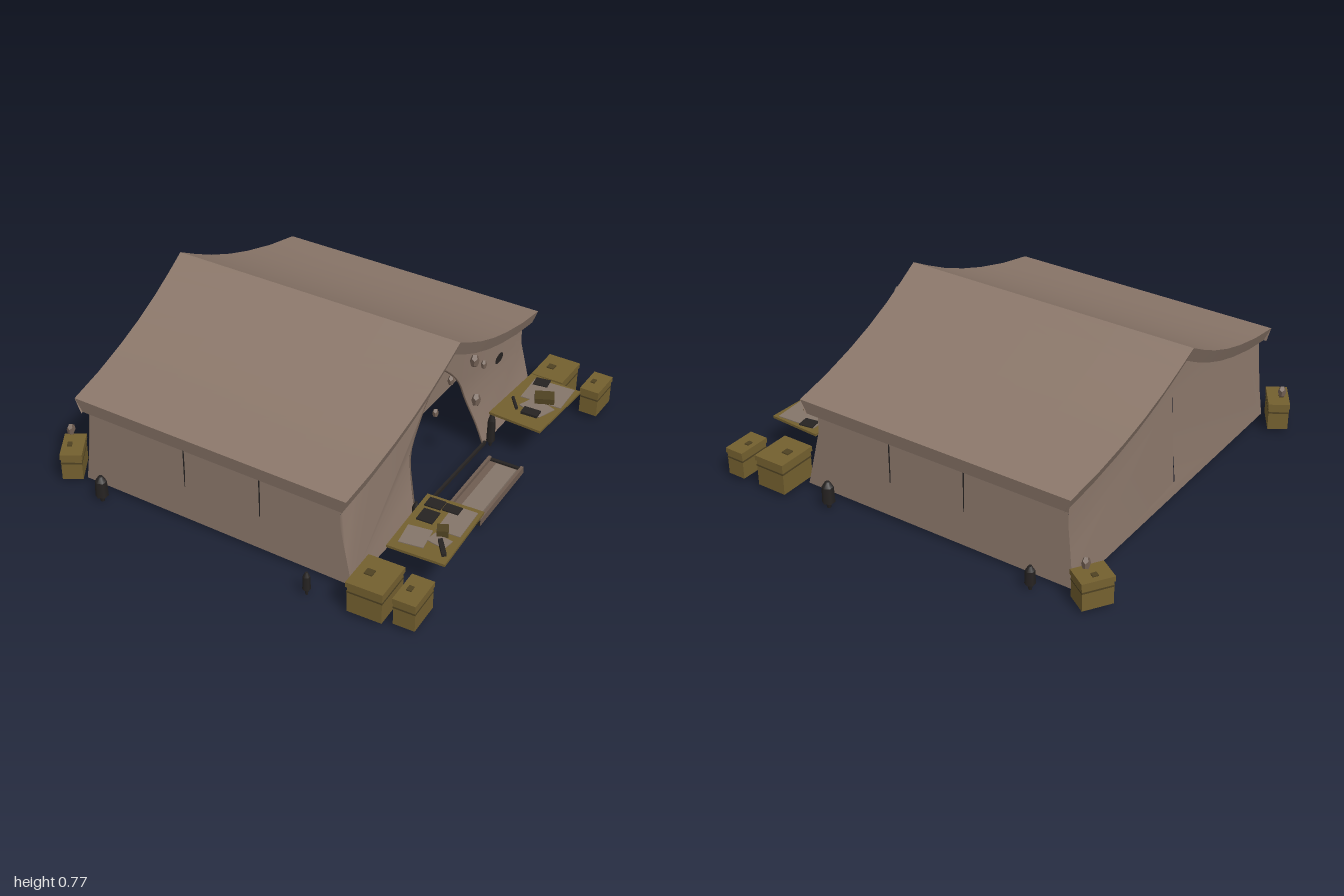
import * as THREE from 'three';

const mat = (name, color, double = false) => {
  const m = new THREE.MeshStandardMaterial({ color, side: double ? THREE.DoubleSide : THREE.FrontSide });
  m.name = name;
  return m;
};

export function createModel() {
  const canvas = mat('canvas', 0x8b776a, true);
  const olive = mat('olive wood', 0x74602f);
  const oliveDark = mat('dark olive trim', 0x4f4222);
  const dark = mat('dark iron', 0x262322);
  const cloth = mat('brown cloth', 0x6f5d51);
  const paper = mat('worn paper', 0x85766a);
  const root = new THREE.Group();
  root.name = 'fieldTent';

  const add = (name, geo, material, pos = [0, 0, 0], parent = root, rotY = 0) => {
    const m = new THREE.Mesh(geo, material);
    m.name = name;
    m.position.set(...pos);
    m.rotation.y = rotY;
    parent.add(m);
    return m;
  };
  const box = (name, w, h, d, material, pos, parent, rotY) =>
    add(name, new THREE.BoxGeometry(w, h, d), material, pos, parent, rotY);
  const group = (name, x, y, z, rotY = 0) => {
    const g = new THREE.Group();
    g.name = name;
    g.position.set(x, y, z);
    g.rotation.y = rotY;
    root.add(g);
    return g;
  };
  // Cloth sheet lofted through rows of points
  const sheet = (name, rows, flip = false) => {
    const n = rows[0].length, index = [];
    for (let r = 0; r < rows.length - 1; r++) {
      for (let c = 0; c < n - 1; c++) {
        const a = r * n + c, b = a + 1, d = a + n, e = d + 1;
        index.push(...(flip ? [a, b, d, b, e, d] : [a, d, b, b, d, e]));
      }
    }
    const g = new THREE.BufferGeometry();
    g.setAttribute('position', new THREE.Float32BufferAttribute(rows.flat(2), 3));
    g.setIndex(index);
    g.computeVertexNormals();
    return add(name, g, canvas);
  };

  // Sagging roof profile: [z, y] from ridge to eave
  const profile = [[0, 0.77], [0.1, 0.715], [0.22, 0.655], [0.36, 0.597], [0.5, 0.55], [0.68, 0.502], [0.865, 0.468]];
  const leftX = z => -0.84 + 0.05 * z / 0.865;
  const rightX = z => 0.635 - 0.035 * z / 0.865;
  // Gable walls hang straight, then flare toward the ground
  const flare = y => Math.max(0, 1 - y / 0.3);
  const rightWallX = y => 0.545 + 0.07 * flare(y);
  const leftWallX = y => -0.75 - 0.015 * Math.max(0, 1 - y / 0.46) - 0.025 * flare(y);

  for (const s of [1, -1]) {
    const side = s > 0 ? 'front' : 'back';
    const flip = s < 0;
    // Roof slope
    sheet(side + 'RoofSlope', profile.map(([z, y]) => [0, 0.25, 0.5, 0.75, 1].map(t =>
      [THREE.MathUtils.lerp(leftX(z), rightX(z), t), y, s * z])), flip);
    // Eave valance
    sheet(side + 'EaveValance', [
      [[-0.79, 0.468, s * 0.865], [0.6, 0.468, s * 0.865]],
      [[-0.775, 0.4, s * 0.855], [0.575, 0.4, s * 0.855]]], flip);
    // Gable valances
    sheet(side + 'RightGableValance', [
      profile.map(([z, y]) => [rightX(z), y, s * z]),
      profile.map(([z, y]) => [rightX(z) - 0.025, y - 0.07, s * z])], !flip);
    sheet(side + 'LeftGableValance', [
      profile.map(([z, y]) => [leftX(z), y, s * z]),
      profile.map(([z, y]) => [leftX(z) + 0.03, y - 0.07, s * z])], flip);
    // Long wall
    sheet(side + 'Wall', [[0.465, 0.815], [0.3, 0.822], [0.16, 0.828], [0.018, 0.835]].map(([y, z]) =>
      [[leftWallX(y), y, s * z], [rightWallX(y), y, s * z]]), flip);
    // Wall seams
    for (const x of [-0.24, 0.15])
      box(side + 'WallSeam', 0.004, 0.28, 0.004, dark, [x, 0.26, s * 0.825]);
  }

  // Gable wall outline in (z, y), with an optional hole
  const gableOutline = () => {
    const top = profile.map(([z, y]) => [Math.min(z, 0.815), y - 0.012]);
    const foot = [[0.822, 0.3], [0.828, 0.16], [0.835, 0.018]];
    const half = [...top, ...foot];
    return [...[...half].reverse().map(([z, y]) => [-z, y]), ...half.slice(1)];
  };
  const vectors = pts => pts.map(p => new THREE.Vector2(...p));
  const upright = (name, points, xAt, hole) => {
    const shape = new THREE.Shape(vectors(points));
    if (hole) shape.holes.push(new THREE.Path(vectors(hole)));
    const g = new THREE.ShapeGeometry(shape);
    const p = g.attributes.position;
    for (let i = 0; i < p.count; i++) {
      const z = p.getX(i), y = p.getY(i);
      p.setXYZ(i, xAt(y), y, z);
    }
    g.computeVertexNormals();
    add(name, g, canvas);
  };

  // Left gable with a narrow slit where its flaps meet
  upright('leftGableWall', gableOutline(), leftWallX,
    [[-0.005, 0.08], [0.005, 0.08], [0.008, 0.3], [0.002, 0.5], [-0.002, 0.5]]);

  // Right gable with an arched door cut up from the ground
  const door = [[0.3, 0.018], [0.285, 0.15], [0.25, 0.3], [0.18, 0.43], [0.09, 0.53], [0, 0.59],
    [-0.09, 0.53], [-0.18, 0.43], [-0.25, 0.3], [-0.3, 0.15], [-0.33, 0.018]];
  upright('rightGableWall', [...gableOutline(), ...door], rightWallX);
  const doorPath = new THREE.CatmullRomCurve3(door.map(([z, y]) => new THREE.Vector3(rightWallX(y) + 0.002, y, z)));
  add('doorHem', new THREE.TubeGeometry(doorPath, 30, 0.004, 5), cloth);

  // Inner curtain hung behind the door, with a centre seam
  upright('innerCurtain', [[0.45, 0.02], [0.45, 0.54], [0.36, 0.58], [0.22, 0.64], [0.1, 0.7], [0, 0.755],
    [-0.1, 0.7], [-0.22, 0.64], [-0.36, 0.58], [-0.5, 0.53], [-0.75, 0.47], [-0.75, 0.02]], () => 0.25);
  box('curtainSeam', 0.004, 0.43, 0.004, dark, [0.252, 0.36, 0]);

  // Window patches on the right gable
  const patch = (z, y, w, h) => {
    const m = add('windowPatch', new THREE.CircleGeometry(0.5, 12), dark, [rightWallX(y) + 0.008, y, z]);
    m.rotation.y = Math.PI / 2;
    m.scale.set(w, h, 1);
  };
  patch(-0.57, 0.35, 0.08, 0.05);
  patch(0.66, 0.31, 0.05, 0.025);

  // Storage chests: body, overhanging lid, trim and latch
  const chest = (x, z, w, d, h, rotY = 0) => {
    const g = group('storageChest', x, 0.02, z, rotY);
    box('chestBody', w * 0.94, h, d * 0.94, olive, [0, h / 2, 0], g);
    box('chestTrim', w * 0.96, 0.008, d * 0.96, oliveDark, [0, h * 0.8, 0], g);
    box('chestLid', w, 0.025, d, olive, [0, h + 0.0125, 0], g);
    box('chestLatch', w * 0.22, 0.006, d * 0.18, oliveDark, [-w * 0.15, h + 0.027, 0], g);
  };
  chest(0.71, -0.88, 0.16, 0.2, 0.13);
  chest(0.915, -0.9, 0.095, 0.165, 0.11);
  chest(0.75, 0.88, 0.17, 0.2, 0.13, 0.05);
  chest(0.917, 0.86, 0.105, 0.175, 0.11, 0.05);
  chest(-0.89, -0.85, 0.115, 0.15, 0.11, -0.58);
  chest(-0.875, 0.815, 0.1, 0.17, 0.11, 0.55);

  // Table tops crowded with maps, folders and tools
  const table = (name, x, z, rotY) => {
    const g = group(name, x, 0.2, z, rotY);
    box('tableTop', 0.265, 0.012, 0.39, olive, [0, 0, 0], g);
    return g;
  };
  const backTable = table('backTable', 0.77, -0.53, -0.055);
  box('map', 0.2, 0.004, 0.17, paper, [0.015, 0.008, -0.09], backTable, 0.1);
  box('map', 0.13, 0.004, 0.1, paper, [0.03, 0.009, 0.04], backTable, -0.3);
  box('darkFolder', 0.07, 0.005, 0.06, dark, [-0.05, 0.012, -0.15], backTable, 0.2);
  box('smallCase', 0.09, 0.03, 0.07, oliveDark, [0.03, 0.023, -0.03], backTable, 0.5);
  box('darkPouch', 0.08, 0.012, 0.05, dark, [0.03, 0.016, 0.1], backTable, 0.1);
  box('tool', 0.012, 0.012, 0.09, dark, [-0.07, 0.012, 0.07], backTable, 0.7);

  const frontTable = table('frontTable', 0.83, 0.525, 0.064);
  box('map', 0.11, 0.004, 0.18, paper, [0.06, 0.008, -0.08], frontTable);
  box('sheetOfPaper', 0.11, 0.004, 0.12, paper, [-0.05, 0.008, 0.09], frontTable, 0.1);
  box('sheetOfPaper', 0.09, 0.004, 0.06, paper, [0.05, 0.008, 0.07], frontTable, -0.2);
  for (const [lx, lz, d] of [[-0.06, -0.05, 0.08], [-0.07, -0.14, 0.06], [0.01, -0.14, 0.05]])
    box('darkFolder', 0.075, 0.006, d, dark, [lx, 0.012, lz], frontTable);
  box('tool', 0.02, 0.015, 0.1, dark, [0.08, 0.014, 0.11], frontTable, 0.6);
  box('smallCase', 0.05, 0.035, 0.05, oliveDark, [0.04, 0.02, 0.02], frontTable, 0.4);

  // Low cot with raised rails
  const cot = group('cot', 0.795, 0.045, 0.005, 0.03);
  box('cotBed', 0.16, 0.015, 0.43, cloth, [0, 0, 0], cot);
  box('cotPad', 0.1, 0.015, 0.36, paper, [0.015, 0.012, -0.01], cot);
  for (const s of [1, -1]) {
    box('cotRail', 0.014, 0.035, 0.44, cloth, [s * 0.08, 0.008, 0], cot);
    box('cotEnd', 0.17, 0.025, 0.016, dark, [0, 0.004, s * 0.215], cot);
  }
  box('doorSill', 0.012, 0.016, 0.66, dark, [0.615, 0.03, -0.015]);

  // Dark lanterns and stakes standing around the tent: x, z, radius, height
  for (const [x, z, r, h] of [[-0.64, 0.915, 0.03, 0.13], [0.47, 0.96, 0.018, 0.11], [0.43, -0.915, 0.03, 0.13],
    [-0.63, -0.91, 0.024, 0.11], [0.63, 0.335, 0.018, 0.13], [0.63, -0.37, 0.02, 0.19]]) {
    const g = group('lantern', x, 0, z);
    add('lanternFoot', new THREE.CylinderGeometry(r * 0.5, r * 0.3, 0.03, 6), dark, [0, 0.015, 0], g);
    add('lanternBody', new THREE.CylinderGeometry(r * 0.9, r, h * 0.6, 6), dark, [0, 0.03 + h * 0.3, 0], g);
    add('lanternCap', new THREE.CylinderGeometry(r * 0.35, r * 0.9, h * 0.2, 6), dark, [0, 0.03 + h * 0.7, 0], g);
  }

  // Small cloth ties hanging at the gable and bundles on the chests
  for (const [x, y, z, r] of [[0.665, 0.64, -0.085, 0.03], [0.645, 0.63, 0.09, 0.022], [0.645, 0.54, 0.22, 0.02],
    [0.645, 0.54, -0.22, 0.02], [0.7, 0.47, -0.05, 0.03], [-0.91, 0.205, 0.78, 0.028], [-0.87, 0.205, -0.87, 0.028]]) {
    add('clothTie', new THREE.DodecahedronGeometry(r), cloth, [x, y, z], root, 0.4).scale.set(0.7, 1.1, 0.9);
  }
  return root;
}
